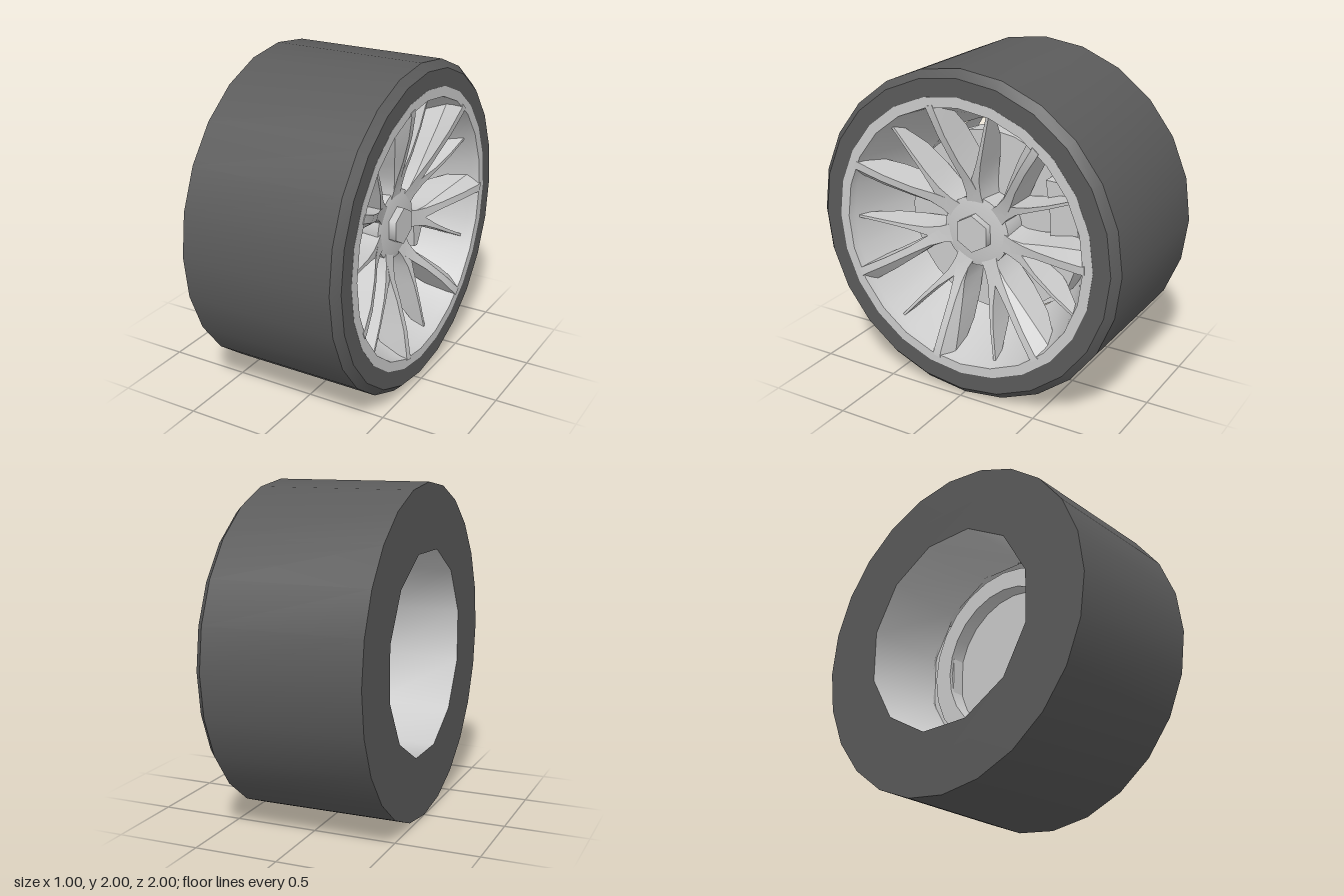
import * as THREE from 'three';
import { toCreasedNormals } from 'three/addons/utils/BufferGeometryUtils.js';

const grey = new THREE.MeshStandardMaterial({ color: 0xcccccc });
const rubber = new THREE.MeshStandardMaterial({ color: 0x5b5b5b });

function add(parent, name, geometry, material = grey) {
  const mesh = new THREE.Mesh(geometry, material);
  mesh.name = name;
  parent.add(mesh);
}

// Revolve [radius, z] pairs around the z axis
function revolve(profile, sides, crease = 0.6, start = 0) {
  const points = profile.map(([r, z]) => new THREE.Vector2(r, z));
  const g = new THREE.LatheGeometry(points, sides, start).rotateX(Math.PI / 2);
  return toCreasedNormals(g, crease);
}

// Blade from stations: [radius, angle, width, front z, back z, sideways bevel below the front]
function blade(stations) {
  const pos = [];
  const index = [];
  for (const [r, deg, w, front, back, bevel] of stations) {
    const a = THREE.MathUtils.degToRad(deg);
    const side = w / 2 + bevel;
    const corners = [[-w / 2, back], [side, back], [side, front - bevel * 1.2 - 0.001], [w / 2, front], [-w / 2, front]];
    for (const [t, z] of corners) {
      pos.push(r * Math.cos(a) - t * Math.sin(a), r * Math.sin(a) + t * Math.cos(a), z);
    }
  }
  const last = (stations.length - 1) * 5;
  for (let s = 0; s < last; s += 5) {
    for (let i = 0; i < 5; i++) {
      const j = (i + 1) % 5;
      index.push(s + i, s + j, s + 5 + j, s + i, s + 5 + j, s + 5 + i);
    }
  }
  for (let i = 1; i < 4; i++) index.push(0, i + 1, i, last, last + i, last + i + 1);
  const g = new THREE.BufferGeometry();
  g.setAttribute('position', new THREE.Float32BufferAttribute(pos, 3));
  g.setIndex(index);
  return toCreasedNormals(g, 0.6);
}

export function createModel() {
  const model = new THREE.Group();
  model.name = 'wheel';

  // Built with the axle along z, then turned so the spokes face +x
  const wheel = new THREE.Group();
  wheel.name = 'wheelAssembly';
  wheel.rotation.y = Math.PI / 2;
  wheel.position.y = 1;
  model.add(wheel);

  // Tyre tread, shoulder and front wall
  add(wheel, 'tyre', revolve(
    [[0.75, -0.5], [1, -0.5], [1, 0.445], [0.955, 0.49], [0.85, 0.49], [0.85, 0.4]], 24, 0.78), rubber);

  // Flat back wall with a twelve-sided opening
  const wall = new THREE.Shape().absarc(0, 0, 0.8, 0, Math.PI * 2);
  const hole = [];
  for (let i = 0; i < 12; i++) {
    const a = (i + 0.5) * Math.PI / 6;
    hole.push(new THREE.Vector2(0.62 * Math.cos(a), 0.62 * Math.sin(a)));
  }
  wall.holes.push(new THREE.Path(hole));
  add(wheel, 'tyreBackWall', new THREE.ShapeGeometry(wall, 12).rotateY(Math.PI).translate(0, 0, -0.5), rubber);

  // Rim: inner barrel, flared dish and front lip
  add(wheel, 'barrel', revolve([[0.62, 0.02], [0.62, -0.5]], 12, 0.6, Math.PI / 12));
  add(wheel, 'rimDish', revolve(
    [[0.85, 0.4], [0.85, 0.491], [0.79, 0.491], [0.78, 0.44], [0.61, 0]], 24));

  // Brake disc, hollowed at the back, and a caliper bridging the gap to the rim
  add(wheel, 'brakeDisc', revolve(
    [[0, 0.1], [0.45, 0.1], [0.45, 0], [0.57, 0], [0.57, 0.12], [0, 0.12]], 24));
  const caliper = new THREE.Shape();
  caliper.absarc(0, 0, 0.615, -0.62, 0.62, false);
  for (const [x, y] of [[0.4, 0.36], [0.435, 0.12], [0.435, -0.12], [0.46, -0.35]]) caliper.lineTo(x, y);
  add(wheel, 'brakeCaliper', new THREE.ExtrudeGeometry(caliper,
    { depth: 0.18, bevelEnabled: false, curveSegments: 6 }).translate(0, 0, 0.02));

  // Hub with a raised hexagonal nut
  add(wheel, 'hub', revolve([[0, 0.1], [0.2, 0.1], [0.215, 0.3], [0.165, 0.31], [0, 0.31]], 28));
  add(wheel, 'hubNut', new THREE.CylinderGeometry(0.115, 0.115, 0.06, 6)
    .rotateX(Math.PI / 2).translate(0, 0, 0.327));

  // Seven forked spokes, each with one broad and one thin blade
  const broad = blade([
    [0.16, -12, 0.11, 0.3, 0.11, 0],
    [0.24, -11, 0.085, 0.318, 0.11, 0],
    [0.33, -8, 0.06, 0.345, 0.12, 0.01],
    [0.45, -4.5, 0.045, 0.395, 0.15, 0.03],
    [0.62, -2.5, 0.044, 0.455, 0.22, 0.05],
    [0.77, -1.8, 0.048, 0.492, 0.34, 0.062],
    [0.8, -1.5, 0.048, 0.495, 0.36, 0.062],
  ]);
  const thin = blade([
    [0.16, -14, 0.11, 0.3, 0.11, 0],
    [0.24, -15, 0.08, 0.318, 0.11, 0],
    [0.33, -18, 0.052, 0.34, 0.12, 0],
    [0.45, -22.5, 0.028, 0.37, 0.15, 0],
    [0.6, -25, 0.02, 0.397, 0.22, 0],
    [0.77, -26.2, 0.016, 0.418, 0.36, 0],
  ]);
  for (let i = 0; i < 7; i++) {
    const spoke = new THREE.Group();
    spoke.name = 'forkedSpoke';
    spoke.rotation.z = THREE.MathUtils.degToRad(2) + i * Math.PI * 2 / 7;
    add(spoke, 'broadBlade', broad);
    add(spoke, 'thinBlade', thin);
    wheel.add(spoke);
  }
  return model;
}
